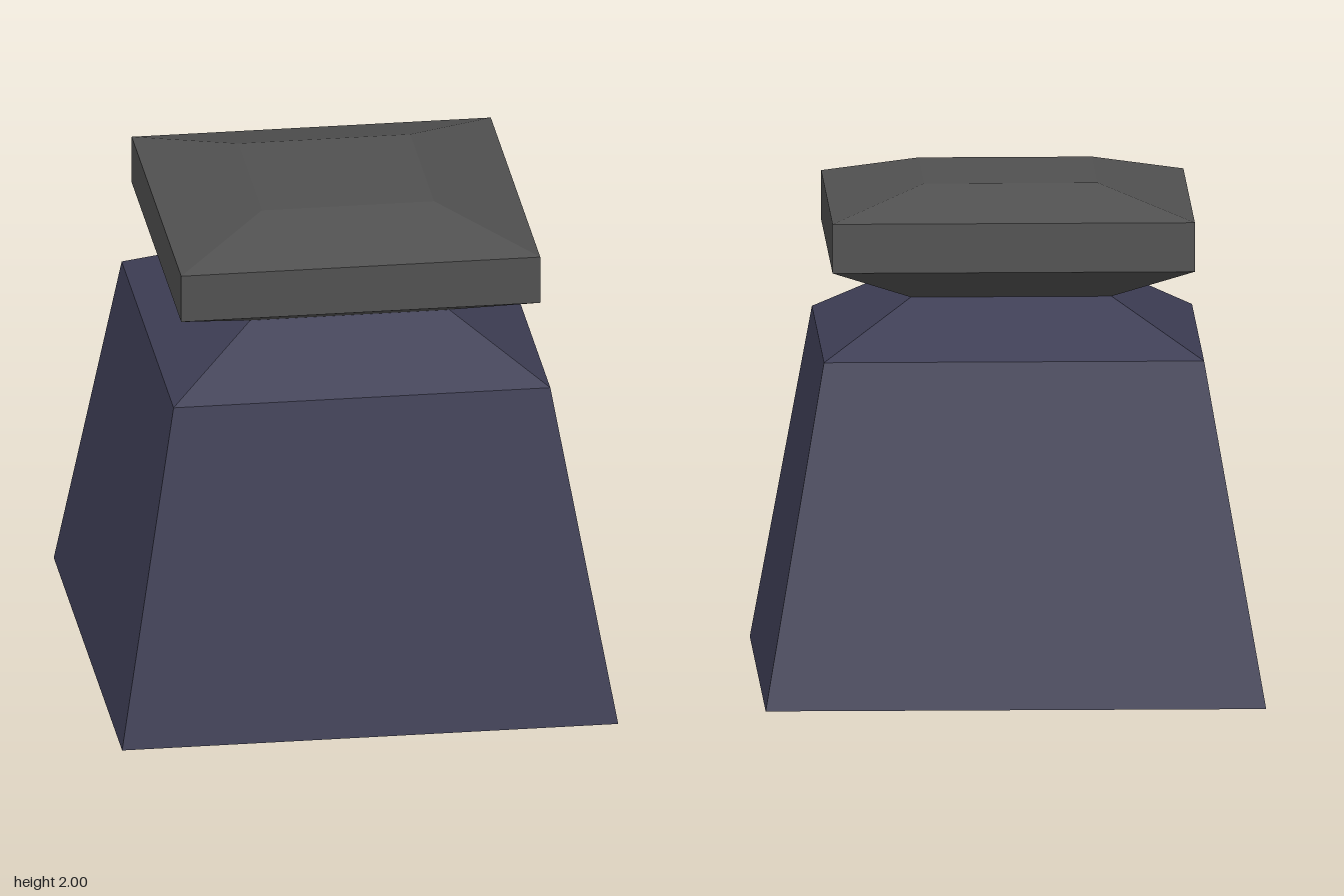
import * as THREE from 'three';

const bodyPaint = new THREE.MeshStandardMaterial({ color: 0x3d3d54 });
const lidGrey = new THREE.MeshStandardMaterial({ color: 0x505050 });

// Square frustum between two heights, given by half-widths, with sharp faces
function frustum(name, material, y0, half0, y1, half1, open = false) {
  const indexed = new THREE.CylinderGeometry(half1 * Math.SQRT2, half0 * Math.SQRT2, y1 - y0, 4, 1, open);
  indexed.rotateY(Math.PI / 4).translate(0, (y0 + y1) / 2, 0);
  const geometry = indexed.toNonIndexed();
  geometry.computeVertexNormals();
  const mesh = new THREE.Mesh(geometry, material);
  mesh.name = name;
  return mesh;
}

export function createModel() {
  const model = new THREE.Group();
  model.name = 'squareBottle';

  // Tapered body with a sloping shoulder
  const body = new THREE.Group();
  body.name = 'body';
  body.add(
    frustum('bodyWalls', bodyPaint, 0, 0.985, 1.35, 0.748),
    frustum('shoulder', bodyPaint, 1.35, 0.748, 1.556, 0.395, true),
  );

  // Lid flaring out from the neck, with a bevelled top
  const lid = new THREE.Group();
  lid.name = 'lid';
  lid.add(
    frustum('lidUnderside', lidGrey, 1.556, 0.395, 1.70, 0.713, true),
    frustum('lidRim', lidGrey, 1.70, 0.713, 1.895, 0.713, true),
    frustum('lidTop', lidGrey, 1.895, 0.713, 2, 0.342),
  );

  model.add(body, lid);
  return model;
}
